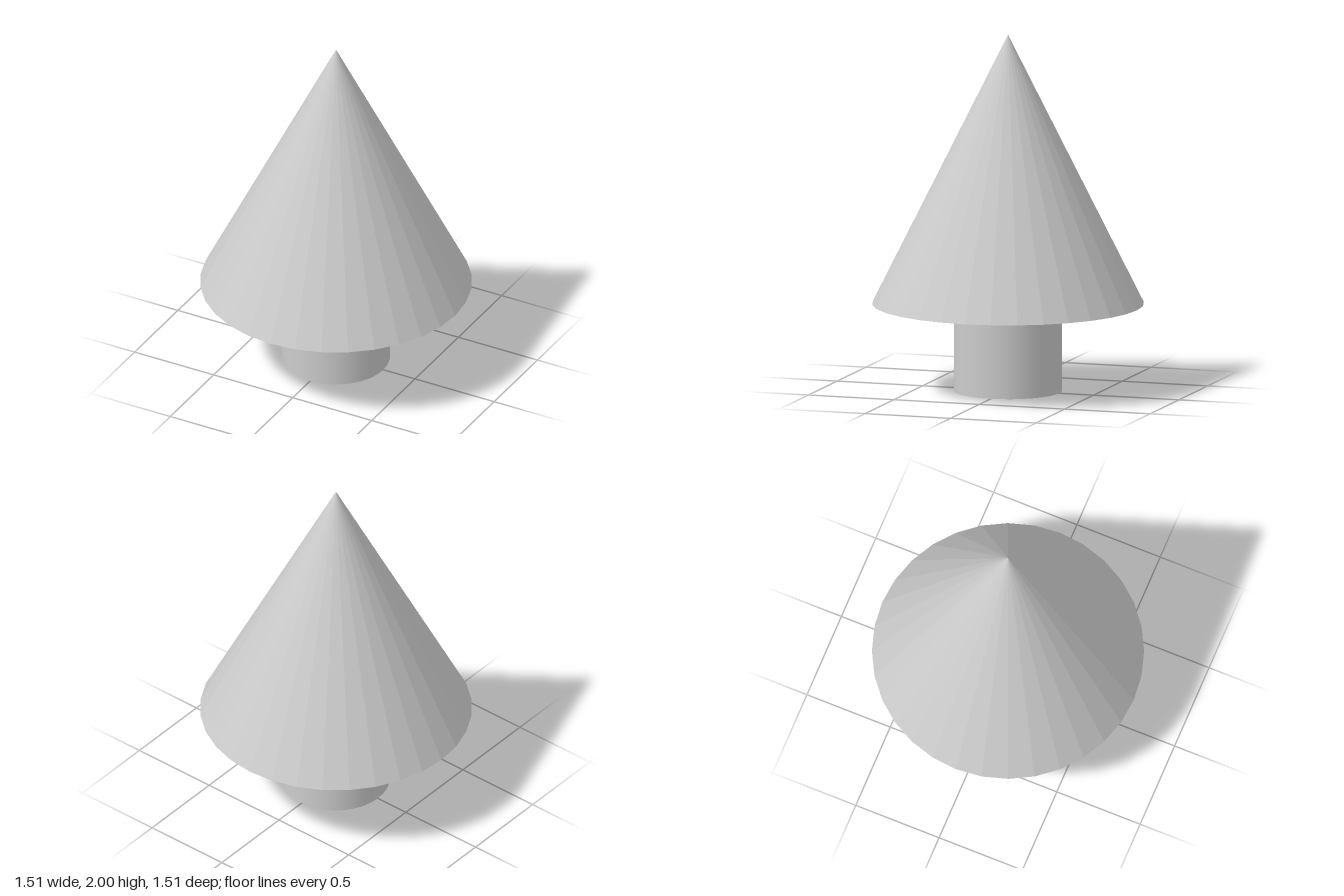
import * as THREE from 'three';

const SEGMENTS = 32;
const BASE_Y = 0.49; // underside of the foliage cone

export function createModel() {
  const group = new THREE.Group();
  group.name = 'tree';

  const add = (name, geometry, y, flatShading) => {
    const material = new THREE.MeshStandardMaterial({ color: 0xcccccc, flatShading });
    const mesh = new THREE.Mesh(geometry, material);
    mesh.name = name;
    mesh.position.y = y;
    group.add(mesh);
  };

  // Round smooth trunk
  add('trunk', new THREE.CylinderGeometry(0.3, 0.3, BASE_Y, SEGMENTS), BASE_Y / 2, false);

  // Faceted foliage cone with a closed underside
  const height = 2 - BASE_Y;
  add('foliage', new THREE.ConeGeometry(0.755, height, SEGMENTS), BASE_Y + height / 2, true);

  return group;
}
